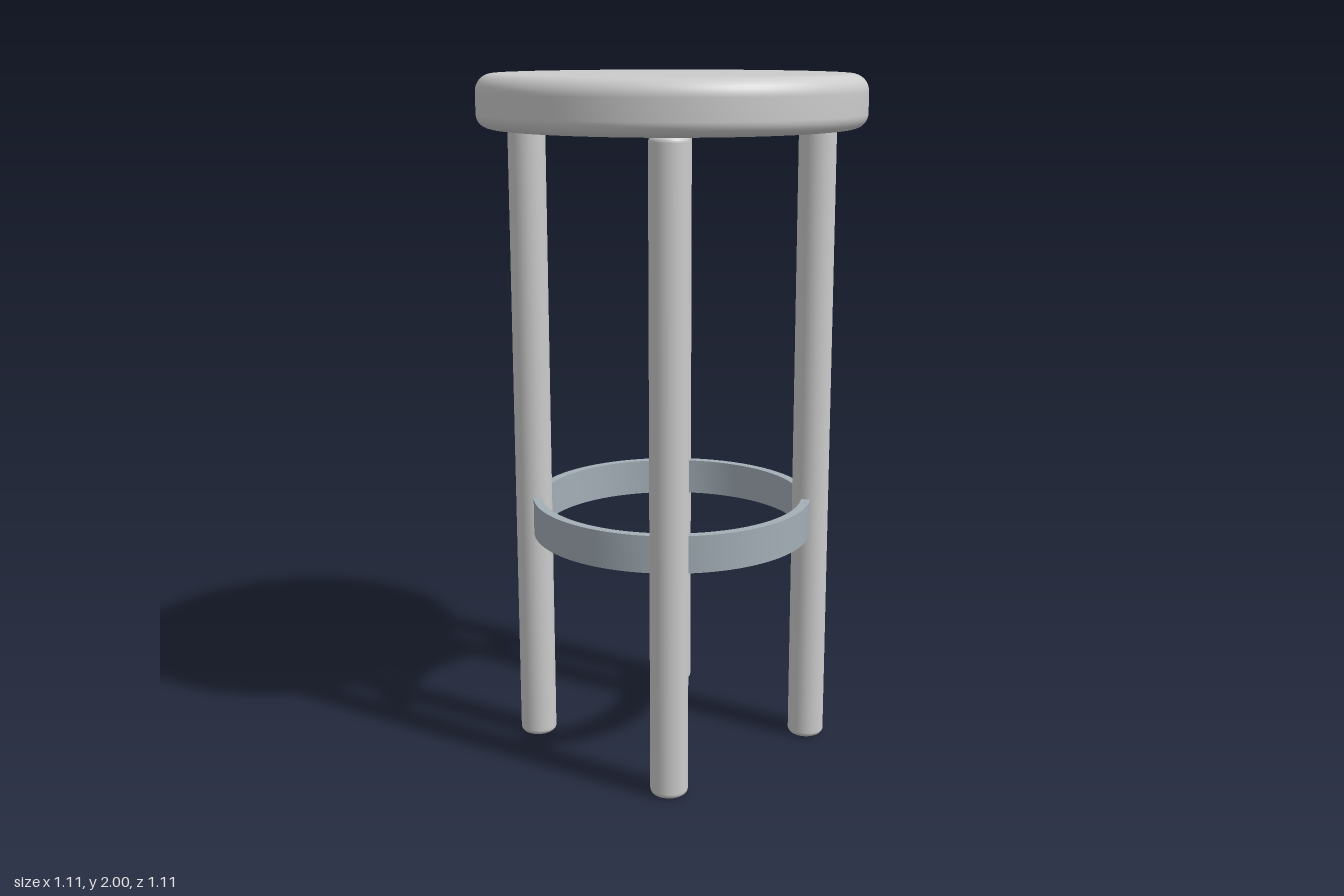
import * as THREE from 'three';
import { toCreasedNormals } from 'three/addons/utils/BufferGeometryUtils.js';

const grey = new THREE.MeshStandardMaterial({ color: 0xcccccc });
const ringGrey = new THREE.MeshStandardMaterial({ color: 0xa3aeb6 });

// Solid disc or rod with rounded rims, standing on y = 0
function roundedCylinder(radius, height, bottomRound, topRound, sides) {
  const steps = 8;
  const points = [new THREE.Vector2(0, 0)];
  for (let i = 0; i <= steps; i++) {
    const a = (i / steps) * Math.PI / 2;
    points.push(new THREE.Vector2(
      radius - bottomRound + bottomRound * Math.sin(a),
      bottomRound - bottomRound * Math.cos(a)));
  }
  for (let i = 0; i <= steps; i++) {
    const a = (i / steps) * Math.PI / 2;
    points.push(new THREE.Vector2(
      radius - topRound + topRound * Math.cos(a),
      height - topRound + topRound * Math.sin(a)));
  }
  points.push(new THREE.Vector2(0, height));
  return new THREE.LatheGeometry(points, sides);
}

// Flat upright band with sharp edges, standing on y = 0
function band(outer, inner, height) {
  const shape = new THREE.Shape().absarc(0, 0, outer, 0, Math.PI * 2);
  shape.holes.push(new THREE.Path().absarc(0, 0, inner, 0, Math.PI * 2, true));
  const geometry = new THREE.ExtrudeGeometry(shape, {
    depth: height, bevelEnabled: false, curveSegments: 64,
  });
  geometry.rotateX(-Math.PI / 2);
  return toCreasedNormals(geometry, 0.6);
}

export function createModel() {
  const stool = new THREE.Group();
  stool.name = 'stool';

  function add(name, geometry, material, x, y, z) {
    const mesh = new THREE.Mesh(geometry, material);
    mesh.name = name;
    mesh.position.set(x, y, z);
    stool.add(mesh);
  }

  // Round seat
  add('seat', roundedCylinder(0.553, 0.15, 0.04, 0.05, 64), grey, 0, 1.85, 0);

  // Four straight legs
  const leg = roundedCylinder(0.054, 1.85, 0.016, 0.016, 32);
  for (const [sideName, x] of [['Left', 0.293], ['Right', -0.293]]) {
    for (const [endName, z] of [['front', 0.293], ['back', -0.293]]) {
      add(`${endName}${sideName}Leg`, leg, grey, x, 0, z);
    }
  }

  // Footrest ring running through the legs
  add('footrestRing', band(0.414, 0.387, 0.108), ringGrey, 0, 0.657, 0);

  return stool;
}
